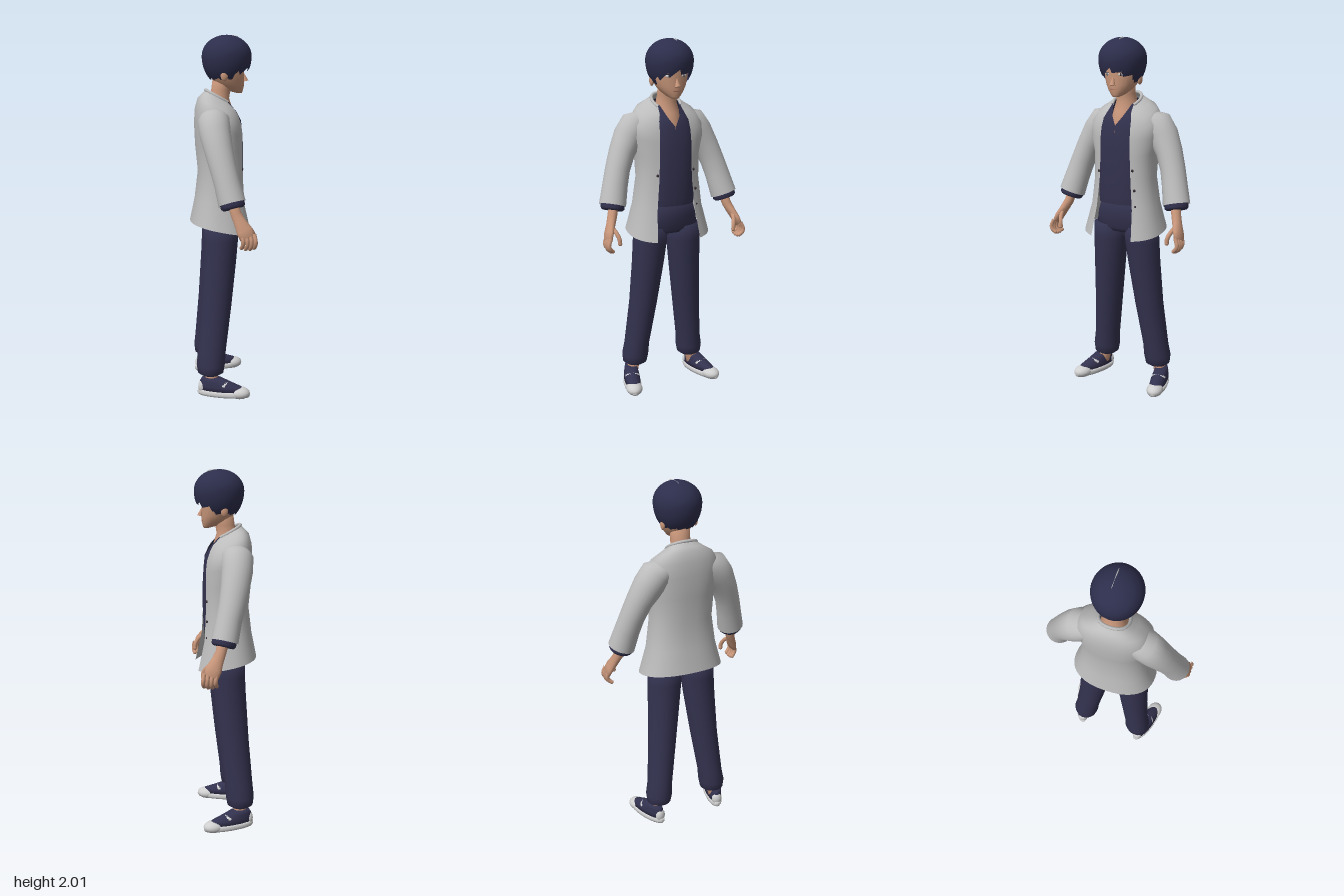
import * as THREE from 'three';

const mat = (name, color, side = THREE.FrontSide) => {
  const m = new THREE.MeshStandardMaterial({ color, side });
  m.name = name;
  return m;
};

// Builds a smooth surface from rows of points; closed rows wrap around.
function skin(rows, closed) {
  const n = rows[0].length, pos = [], idx = [];
  rows.forEach(r => r.forEach(p => pos.push(p.x, p.y, p.z)));
  for (let i = 0; i < rows.length - 1; i++) {
    for (let j = 0; j < (closed ? n : n - 1); j++) {
      const a = i * n + j, b = i * n + (j + 1) % n;
      idx.push(a, b, a + n, b, b + n, a + n);
    }
  }
  const g = new THREE.BufferGeometry();
  g.setAttribute('position', new THREE.Float32BufferAttribute(pos, 3));
  g.setIndex(idx);
  g.computeVertexNormals();
  return g;
}

// Elliptic sections [x, y, z, radiusA, radiusB]; flat keeps the rings level.
function loft(sections, { flat = true, cap = true, n = 24 } = {}) {
  const s = sections.map(r => [...r]);
  if (cap) {
    const end = r => [r[0], r[1], r[2], 0.0005, 0.0005];
    s.unshift(end(s[0]));
    s.push(end(s[s.length - 1]));
  }
  const c = s.map(r => new THREE.Vector3(r[0], r[1], r[2]));
  const last = c.length - 1;
  const rows = s.map((r, i) => {
    const t = flat ? new THREE.Vector3(0, Math.sign(c[last].y - c[0].y), 0)
      : c[Math.min(i + 2, last)].clone().sub(c[Math.max(i - 2, 0)]).normalize();
    const a = new THREE.Vector3(1, 0, 0).addScaledVector(t, -t.x).normalize();
    const b = t.clone().cross(a);
    return Array.from({ length: n }, (_, j) => {
      const q = j / n * Math.PI * 2;
      return c[i].clone().addScaledVector(a, Math.cos(q) * r[3]).addScaledVector(b, Math.sin(q) * r[4]);
    });
  });
  return skin(rows, true);
}

// Garment rows open at the front: [yBack, yFront, xBack, xFront, halfWidth, halfOpening].
function garmentRows(sections, n = 40) {
  const pw = v => Math.sign(v) * Math.abs(v) ** 0.85;
  return sections.map(([yb, yf, xb, xf, rz, open]) => {
    const start = Math.asin((open / rz) ** (1 / 0.85));
    return Array.from({ length: n + 1 }, (_, j) => {
      const q = start + (Math.PI * 2 - 2 * start) * j / n;
      const x = (xb + xf) / 2 + pw(Math.cos(q)) * (xf - xb) / 2;
      return new THREE.Vector3(x, yb + (yf - yb) * (x - xb) / (xf - xb), -pw(Math.sin(q)) * rz);
    });
  });
}

export function createModel() {
  const root = new THREE.Group();
  root.name = 'standingMan';
  const navy = mat('navy cloth', 0x33324f, THREE.DoubleSide);
  const hairMat = mat('dark blue hair', 0x2d2e4c, THREE.DoubleSide);
  const grey = mat('light grey cloth', 0xbcbcbc, THREE.DoubleSide);
  const white = mat('shoe white', 0xcfcfcf);
  const flesh = mat('skin', 0xc8967a);
  const dark = mat('dark detail', 0x3a3038);
  const lip = mat('lips', 0xa8685a);

  const add = (name, geo, m, parent = root) => {
    const mesh = new THREE.Mesh(geo, m);
    mesh.name = name;
    parent.add(mesh);
    return mesh;
  };
  const blob = (name, m, p, s, parent) => {
    const mesh = add(name, new THREE.SphereGeometry(1, 20, 14), m, parent);
    mesh.position.set(...p);
    mesh.scale.set(...s);
    return mesh;
  };
  const tube = (name, m, pts, r) => add(name, new THREE.TubeGeometry(
    new THREE.CatmullRomCurve3(pts), 16, r, 8), m);

  // Head, neck and upper chest
  add('head', loft([
    [0.102, 1.684, 0, 0.016, 0.018], [0.082, 1.695, 0, 0.04, 0.036], [0.058, 1.72, 0, 0.07, 0.062],
    [0.042, 1.75, 0, 0.087, 0.083], [0.034, 1.79, 0, 0.095, 0.096], [0.03, 1.83, 0, 0.1, 0.102],
    [0.027, 1.88, 0, 0.105, 0.104], [0.027, 1.93, 0, 0.088, 0.085], [0.03, 1.965, 0, 0.04, 0.04]]), flesh);
  add('neckAndChest', loft([
    [0, 1.46, 0, 0.09, 0.08], [-0.005, 1.53, 0, 0.098, 0.085], [-0.012, 1.6, 0, 0.075, 0.075],
    [-0.012, 1.655, 0, 0.058, 0.058], [0, 1.7, 0, 0.054, 0.054], [0.01, 1.77, 0, 0.055, 0.055]]), flesh);

  // Face details
  const nose = add('nose', new THREE.ConeGeometry(0.017, 0.055, 8), flesh);
  nose.position.set(0.13, 1.775, 0);
  nose.rotation.z = 0.25;
  blob('mouth', lip, [0.125, 1.727, 0], [0.004, 0.003, 0.02]);
  for (const s of [1, -1]) {
    blob('eyeWhite', white, [0.117, 1.806, s * 0.045], [0.005, 0.008, 0.018]).rotation.y = -s * 0.45;
    blob('iris', dark, [0.12, 1.806, s * 0.043], [0.004, 0.008, 0.007]).rotation.y = -s * 0.45;
    blob('upperLid', dark, [0.119, 1.815, s * 0.046], [0.005, 0.002, 0.021]).rotation.y = -s * 0.45;
    blob('ear', flesh, [0.012, 1.778, s * 0.097], [0.02, 0.03, 0.012]);
  }

  // Hair cap: lower edge follows the fringe, temples and nape
  const hairRows = [];
  for (let i = 0; i <= 20; i++) {
    hairRows.push(Array.from({ length: 72 }, (_, j) => {
      const q = j / 72 * Math.PI * 2;
      const d = Math.abs(q > Math.PI ? q - Math.PI * 2 : q);
      const tip = (j % 6) / 6;
      const edge = d < 1.25 ? 1.842 - 0.036 * d - 0.03 * tip : 1.765 - 0.012 * tip;
      const f = i / 20;
      const y = f < 0.6 ? 1.885 + 0.115 * Math.cos(f / 0.6 * Math.PI / 2)
        : 1.885 + (edge - 1.885) * (f - 0.6) / 0.4;
      const k = (y - 1.885) / (y > 1.885 ? 0.115 : 0.17);
      const r = Math.sqrt(Math.max(0, 1 - k * k));
      return new THREE.Vector3(0.032 + Math.cos(q) * r * 0.138, y, Math.sin(q) * r * 0.13);
    }));
  }
  add('hair', skin(hairRows, true), hairMat);
  blob('hairParting', grey, [0.04, 1.991, -0.015], [0.056, 0.0085, 0.004]);

  // V-neck shirt
  add('shirt', skin(garmentRows([
    [1.67, 1.64, -0.07, 0.05, 0.075, 0.06], [1.6, 1.58, -0.11, 0.088, 0.115, 0.034],
    [1.53, 1.53, -0.12, 0.112, 0.15, 0.0005], [1.4, 1.4, -0.12, 0.123, 0.16, 0],
    [1.25, 1.25, -0.115, 0.125, 0.15, 0], [1.13, 1.13, -0.115, 0.12, 0.152, 0],
    [1.09, 1.09, -0.11, 0.115, 0.15, 0]]), false), navy);

  // Open jacket with collar edge and buttons
  const jacket = garmentRows([
    [1.70, 1.62, -0.085, 0.06, 0.08, 0.068], [1.675, 1.59, -0.11, 0.085, 0.125, 0.076],
    [1.655, 1.56, -0.13, 0.1, 0.17, 0.088], [1.6, 1.51, -0.145, 0.115, 0.205, 0.092],
    [1.52, 1.45, -0.15, 0.123, 0.21, 0.094], [1.4, 1.36, -0.145, 0.127, 0.185, 0.095],
    [1.25, 1.23, -0.13, 0.13, 0.18, 0.1], [1.1, 1.07, -0.148, 0.142, 0.2, 0.115],
    [0.968, 0.9, -0.175, 0.18, 0.24, 0.13]]);
  add('jacketBody', skin(jacket, false), grey);
  tube('collarEdge', grey, jacket[0].filter((_, j) => j % 5 === 0), 0.009);
  for (const [y, z] of [[1.29, -0.11], [1.18, -0.122], [1.09, -0.128], [1.27, 0.107]]) {
    blob('button', dark, [0.111, y, z], [0.006, 0.008, 0.008]);
  }

  // Trousers seat
  add('trouserSeat', loft([
    [0, 0.925, 0, 0.075, 0.13], [-0.005, 0.95, 0, 0.1, 0.185], [0, 1.02, 0, 0.106, 0.172],
    [0, 1.11, 0, 0.108, 0.145]]), navy);

  for (const s of [1, -1]) {
    const side = s > 0 ? 'left' : 'right';
    const m = list => list.map(([x, y, z, a, b]) => [x, y, z * s, a, b]);
    const v = (x, y, z) => new THREE.Vector3(x, y, z * s);

    // Sleeve and shirt cuff
    add(side + 'Sleeve', loft(m([
      [-0.05, 1.56, 0.11, 0.07, 0.06], [-0.05, 1.535, 0.165, 0.088, 0.088],
      [-0.045, 1.47, 0.215, 0.085, 0.085], [-0.03, 1.39, 0.26, 0.078, 0.072],
      [-0.01, 1.3, 0.295, 0.072, 0.068], [0.01, 1.22, 0.318, 0.07, 0.07],
      [0.035, 1.115, 0.345, 0.074, 0.075]]), { flat: false, cap: false }), grey);
    add(side + 'Cuff', loft(m([
      [0.025, 1.17, 0.33, 0.06, 0.06], [0.035, 1.12, 0.343, 0.066, 0.066],
      [0.04, 1.098, 0.348, 0.066, 0.066], [0.043, 1.088, 0.351, 0.056, 0.056]]), { flat: false }), navy);

    // Forearm, hand and curled fingers
    add(side + 'Hand', loft(m([
      [0.035, 1.14, 0.335, 0.03, 0.028], [0.055, 1.06, 0.355, 0.029, 0.026],
      [0.075, 1.02, 0.372, 0.033, 0.024], [0.098, 0.975, 0.393, 0.044, 0.02],
      [0.113, 0.94, 0.405, 0.042, 0.016]]), { flat: false, n: 16 }), flesh);
    for (let i = 0; i < 4; i++) {
      const x = 0.082 + i * 0.022, e = 0.006 * Math.abs(i - 1.5);
      tube(side + 'Finger', flesh, [v(x, 0.96, 0.4), v(x + 0.006, 0.922, 0.414),
        v(x + 0.006, 0.892 + e, 0.408), v(x, 0.877 + e, 0.392)], 0.011);
      blob(side + 'Fingertip', flesh, [x, 0.877 + e, 0.392 * s], [0.011, 0.011, 0.011]);
    }
    tube(side + 'Thumb', flesh, [v(0.09, 1.01, 0.375), v(0.13, 0.98, 0.362),
      v(0.148, 0.95, 0.352), v(0.15, 0.925, 0.35)], 0.012);
    blob(side + 'ThumbTip', flesh, [0.15, 0.925, 0.35 * s], [0.012, 0.012, 0.012]);

    // Trouser leg gathered at the ankle
    add(side + 'TrouserLeg', loft(m([
      [-0.07, 0.11, 0.178, 0.05, 0.05], [-0.07, 0.125, 0.178, 0.073, 0.07],
      [-0.069, 0.17, 0.176, 0.08, 0.077], [-0.063, 0.24, 0.168, 0.079, 0.072],
      [-0.036, 0.5, 0.137, 0.086, 0.08], [-0.015, 0.75, 0.114, 0.093, 0.092],
      [-0.007, 0.87, 0.105, 0.096, 0.098], [-0.005, 0.96, 0.1, 0.1, 0.098]])), navy);
    add(side + 'Ankle', loft(m([[-0.065, 0.05, 0.198, 0.036, 0.032], [-0.068, 0.15, 0.182, 0.038, 0.036]])), flesh);

    // Shoe turned outward
    const shoe = new THREE.Group();
    shoe.name = side + 'Shoe';
    shoe.position.set(0, 0, s * 0.225);
    shoe.rotation.y = -s * 0.27;
    root.add(shoe);
    add('sole', loft([[0, 0, 0, 0.144, 0.046], [0, 0.012, 0, 0.151, 0.051], [0, 0.032, 0, 0.148, 0.049]]), white, shoe);
    add('upper', loft([[0, 0.025, 0, 0.145, 0.047], [-0.018, 0.055, 0, 0.124, 0.045],
      [-0.05, 0.082, 0, 0.085, 0.039], [-0.066, 0.1, 0, 0.058, 0.034]]), navy, shoe);
    blob('toeCap', white, [0.088, 0.022, 0], [0.062, 0.035, 0.047], shoe);
    blob('instepStrap', white, [0.0, 0.055, 0], [0.05, 0.036, 0.043], shoe);
    blob('heelPatch', white, [-0.122, 0.045, 0], [0.024, 0.04, 0.03], shoe);
  }
  return root;
}
